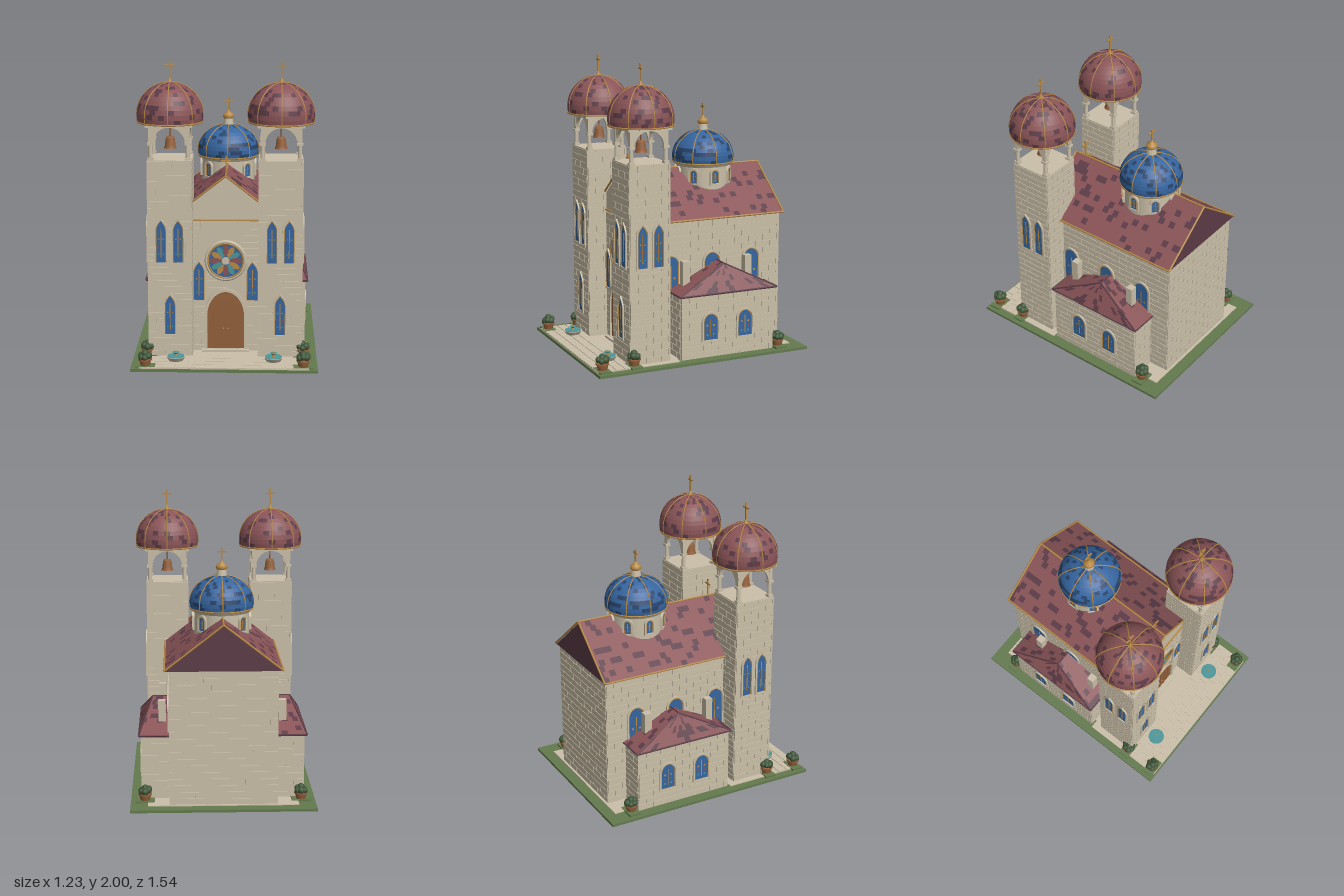
import * as THREE from 'three';
import { mergeGeometries } from 'three/addons/utils/BufferGeometryUtils.js';

const mat = (name, color) => {
  const m = new THREE.MeshStandardMaterial({ color });
  m.name = name;
  return m;
};
const V = (x, y, z) => new THREE.Vector3(x, y, z);

export function createModel() {
  const stone = mat('stone', 0xcabfa8), red = mat('redTile', 0x8a5457), plum = mat('darkTile', 0x5c3c48);
  const gold = mat('gold', 0xb98a45), blue = mat('blue', 0x35659f), navy = mat('navyTile', 0x27436b);
  const wood = mat('wood', 0x94613c), grass = mat('grass', 0x637a4e), leaf = mat('foliage', 0x40573a), teal = mat('teal', 0x4b979b);
  const model = new THREE.Group();
  model.name = 'church';
  let seed = 7;
  const rnd = () => (seed = (seed * 16807) % 2147483647) / 2147483647;

  const add = (parent, name, geo, m, x = 0, y = 0, z = 0) => {
    const mesh = new THREE.Mesh(geo, m);
    mesh.name = name;
    mesh.position.set(x, y, z);
    parent.add(mesh);
    return mesh;
  };
  const group = (parent, name, x = 0, y = 0, z = 0, ry = 0) => {
    const g = new THREE.Group();
    g.name = name;
    g.position.set(x, y, z);
    g.rotation.y = ry;
    parent.add(g);
    return g;
  };
  const box = (p, name, m, x0, x1, y0, y1, z0, z1) =>
    add(p, name, new THREE.BoxGeometry(x1 - x0, y1 - y0, z1 - z0), m, (x0 + x1) / 2, (y0 + y1) / 2, (z0 + z1) / 2);
  const cyl = (p, name, m, rt, rb, h, x, y, z, n = 16) =>
    add(p, name, new THREE.CylinderGeometry(rt, rb, h, n), m, x, y + h / 2, z);
  const bar = (p, name, m, a, b, r = 0.005) => {
    const mesh = add(p, name, new THREE.CylinderGeometry(r, r, a.distanceTo(b), 6), m);
    mesh.position.copy(a).lerp(b, 0.5);
    mesh.quaternion.setFromUnitVectors(V(0, 1, 0), b.clone().sub(a).normalize());
  };

  // Slightly raised blocks in running bond, in the xy plane facing +z
  const bricks = (p, name, w, h, L = 0.11, H = 0.045) => {
    const parts = [], rows = Math.round(h / H), rh = h / rows, gap = 0.004;
    for (let j = 0; j < rows; j++)
      for (let x = -w / 2 - (j % 2 ? L / 2 : 0); x < w / 2 - 0.01; x += L) {
        const a = Math.max(x, -w / 2), b = Math.min(x + L, w / 2);
        if (b - a > 0.012)
          parts.push(new THREE.BoxGeometry(b - a - gap, rh - gap, 0.004).translate((a + b) / 2, (j + 0.5) * rh, 0.002));
      }
    return add(p, name, mergeGeometries(parts), stone);
  };

  // Surface of staggered tiles, each randomly one of two colours
  const tiles = (p, name, f, cols, rows, mats, chance, wrap) => {
    const pos = [[], []];
    const at = (k, j) => f(wrap ? k / (2 * cols) : THREE.MathUtils.clamp(k / (2 * cols), 0, 1), j / rows);
    for (let j = 0; j < rows; j++)
      for (let i = wrap || j % 2 === 0 ? 0 : -1; i < cols; i++) {
        const out = pos[rnd() < chance ? 1 : 0];
        for (let h = 0; h < 2; h++) {
          const k = 2 * i + (j % 2) + h;
          const a = at(k, j), b = at(k + 1, j), c = at(k + 1, j + 1), d = at(k, j + 1);
          for (const q of [a, b, c, a, c, d]) out.push(q.x, q.y, q.z);
        }
      }
    const geo = new THREE.BufferGeometry();
    geo.setAttribute('position', new THREE.Float32BufferAttribute(pos[0].concat(pos[1]), 3));
    geo.addGroup(0, pos[0].length / 3, 0);
    geo.addGroup(pos[0].length / 3, pos[1].length / 3, 1);
    geo.computeVertexNormals();
    add(p, name, geo, mats);
  };
  // Roof slope from lower edge a-b to upper edge d-c, mirrored for s = -1
  const slope = (p, name, s, corners, cols, rows) => {
    let [a, b, c, d] = corners.map((q) => V(q.x * s, q.y, q.z));
    if (s < 0) [a, b, c, d] = [b, a, d, c];
    tiles(p, name, (u, v) => a.clone().lerp(b, u).lerp(d.clone().lerp(c, u), v), cols, rows, [red, plum], 0.2);
  };

  const cross = (p, x, y, z, h) => {
    const g = group(p, 'cross', x, y, z);
    box(g, 'crossPost', gold, -0.005, 0.005, 0, h, -0.004, 0.004);
    box(g, 'crossArm', gold, -0.032, 0.032, h * 0.68, h * 0.68 + 0.01, -0.004, 0.004);
  };

  const dome = (p, R, base, top, mats, chance) => {
    const g = group(p, 'dome', 0, base, 0), H = (top - base) / 1.2;
    const pt = (u, v) => {
      const t = -0.2 + v * (Math.PI / 2 + 0.2), r = R * Math.cos(t), a = u * Math.PI * 2;
      return V(r * Math.sin(a), H * (Math.sin(t) + 0.2), r * Math.cos(a));
    };
    tiles(g, 'domeTiles', pt, 32, 12, mats, chance, true);
    cyl(g, 'domeSoffit', stone, R * 0.97, R * 0.97, 0.006, 0, -0.004, 0, 40);
    add(g, 'domeRim', new THREE.TorusGeometry(R * 0.98, 0.006, 6, 40).rotateX(Math.PI / 2), gold);
    for (let i = 0; i < 8; i++) {
      const pts = [0, 0.2, 0.4, 0.6, 0.8, 1].map((v) => pt(i / 8, v));
      add(g, 'domeRib', new THREE.TubeGeometry(new THREE.CatmullRomCurve3(pts), 14, 0.0045, 5), gold);
    }
  };

  // Arched outline with its foot at y = 0
  const arch = (C, w, h, rise, round) => {
    const s = new C(), x = w / 2, t = h - rise, k = round ? 0.55 : 0.2, e = round ? h : h - rise * 0.2;
    s.moveTo(-x, 0).lineTo(x, 0).lineTo(x, t);
    s.bezierCurveTo(x, t + rise * 0.55, x * k, e, 0, h);
    s.bezierCurveTo(-x * k, e, -x, t + rise * 0.55, -x, t);
    s.lineTo(-x, 0);
    return s;
  };
  const frame = (p, name, m, w, h, rise, round, t, depth) => {
    const s = arch(THREE.Shape, w + 2 * t, h + 2 * t, rise + t, round);
    const hole = arch(THREE.Path, w, h, rise, round);
    hole.curves.forEach((c) => ['v0', 'v1', 'v2', 'v3'].forEach((k) => c[k] && !c[k].moved && (c[k] = Object.assign(c[k].clone(), { moved: true }), c[k].y += t)));
    add(p, name, new THREE.ExtrudeGeometry(s, { depth, bevelEnabled: false, curveSegments: 10 }), m, 0, -t, 0).geometry;
    p.children.pop();
    s.holes.push(hole);
    add(p, name, new THREE.ExtrudeGeometry(s, { depth, bevelEnabled: false, curveSegments: 10 }), m, 0, -t, 0);
  };
  const archWindow = (p, x, y, z, w, h, round, ry = 0) => {
    const g = group(p, 'archedWindow', x, y, z, ry), rise = w * (round ? 0.6 : 1.1);
    frame(g, 'windowSurround', stone, w + 0.008, h + 0.004, rise, round, 0.012, 0.014);
    frame(g, 'windowTrim', gold, w - 0.002, h - 0.002, rise, round, 0.004, 0.011);
    add(g, 'windowGlass', new THREE.ShapeGeometry(arch(THREE.Shape, w, h, rise, round), 10), blue, 0, 0, 0.006);
    box(g, 'windowMullion', gold, -0.003, 0.003, h * 0.12, h * 0.8, 0.006, 0.009);
    [teal, red, gold].forEach((m, i) => [-1, 1].forEach((s) =>
      add(g, 'glassRoundel', new THREE.CircleGeometry(w * 0.08, 8), m, s * w * 0.24, h * (0.2 + i * 0.18), 0.008)));
  };

  // Ground and paving
  box(model, 'lawn', grass, -0.615, 0.615, 0, 0.018, -0.775, 0.77);
  box(model, 'backPaving', stone, -0.5, 0.5, 0.018, 0.024, -0.7, 0.2);
  box(model, 'frontPaving', stone, -0.56, 0.56, 0.018, 0.024, 0.17, 0.76);
  const paving = group(model, 'pavingSlabs', 0, 0.024, 0.76);
  bricks(paving, 'slabs', 1.12, 0.25, 0.08, 0.06).rotation.x = -Math.PI / 2;

  // Nave
  const nave = group(model, 'nave');
  box(nave, 'naveWalls', stone, -0.355, 0.355, 0.018, 0.94, -0.68, 0.375);
  const wall = (p, x, z, ry, w, h) => bricks(group(p, 'stonework', x, 0.02, z, ry), 'wallBlocks', w, h);
  wall(nave, 0, 0.375, 0, 0.44, 0.9);
  wall(nave, 0, -0.68, Math.PI, 0.71, 0.91);
  const tri = new THREE.Shape([new THREE.Vector2(-0.375, 0.93), new THREE.Vector2(0.375, 0.93), new THREE.Vector2(0, 1.225)]);
  add(nave, 'roofCore', new THREE.ExtrudeGeometry(tri, { depth: 1.06, bevelEnabled: false }), plum, 0, 0, -0.697);
  add(nave, 'frontGable', new THREE.ExtrudeGeometry(tri, { depth: 0.012, bevelEnabled: false }), stone, 0, 0, 0.364);
  box(nave, 'gableCornice', gold, -0.22, 0.22, 0.93, 0.938, 0.37, 0.388);
  for (let i = -8; i <= 8; i++) box(nave, 'dentil', stone, i * 0.025 - 0.006, i * 0.025 + 0.006, 0.914, 0.93, 0.37, 0.385);
  const ridge = [V(0, 1.235, 0.385), V(0, 1.235, -0.7)];
  bar(nave, 'ridgeTrim', gold, ...ridge, 0.007);
  cross(nave, 0, 1.235, 0.3, 0.12);
  for (const s of [1, -1]) {
    const ef = V(0.385, 0.935, 0.385), eb = V(0.385, 0.935, -0.7);
    slope(nave, 'naveRoof', s, [ef, eb, ridge[1], ridge[0]], 26, 11);
    for (const q of [ef, eb]) q.x *= s;
    bar(nave, 'eaveTrim', gold, ef, eb, 0.007);
    bar(nave, 'frontRake', gold, ef, ridge[0], 0.007);
    bar(nave, 'backRake', gold, eb, ridge[1], 0.007);
    wall(nave, s * 0.355, -0.23, s * Math.PI / 2, 0.9, 0.9);
    for (const z of [0.15, -0.16, -0.46]) archWindow(nave, s * 0.355, 0.35, z, 0.11, 0.345, true, s * Math.PI / 2);
    archWindow(nave, s * 0.18, 0.38, 0.375, 0.07, 0.265, false);
  }

  // Rose window
  const rose = group(model, 'roseWindow', 0, 0.655, 0.375);
  add(rose, 'roseSurround', new THREE.TorusGeometry(0.13, 0.012, 8, 40), stone, 0, 0, 0.004);
  add(rose, 'roseRing', new THREE.TorusGeometry(0.118, 0.006, 8, 40), gold, 0, 0, 0.012);
  add(rose, 'roseGlass', new THREE.CircleGeometry(0.12, 40), blue, 0, 0, 0.008);
  for (let i = 0; i < 12; i++) {
    const petal = new THREE.CircleGeometry(0.02, 12).scale(1, 2, 1).translate(0, 0.068, 0);
    add(rose, 'rosePetal', petal, [red, teal, gold][i % 3], 0, 0, 0.01).rotation.z = (i * Math.PI) / 6;
  }
  add(rose, 'roseCentre', new THREE.CircleGeometry(0.027, 16), stone, 0, 0, 0.012);

  // Entrance door
  const door = group(model, 'door', 0, 0.04, 0.375);
  frame(door, 'doorSurround', stone, 0.25, 0.4, 0.17, true, 0.02, 0.02);
  add(door, 'doorLeaves', new THREE.ShapeGeometry(arch(THREE.Shape, 0.25, 0.4, 0.17, true), 12), wood, 0, 0, 0.007);
  for (const x of [-0.083, -0.042, 0, 0.042, 0.083]) box(door, 'doorBatten', wood, x - 0.002, x + 0.002, 0, 0.34 - Math.abs(x) * 0.3, 0.006, 0.011);
  for (const s of [-1, 1]) add(door, 'doorKnob', new THREE.SphereGeometry(0.006, 8, 6), gold, s * 0.015, 0.14, 0.012);
  box(model, 'doorStep', stone, -0.16, 0.16, 0.018, 0.038, 0.37, 0.42);

  // Bell towers
  for (const s of [1, -1]) {
    const t = group(model, 'bellTower', s * 0.367, 0, 0.367), h = 0.144;
    box(t, 'towerShaft', stone, -h, h, 0.018, 1.36, -h, h);
    for (let i = 0; i < 4; i++) {
      const a = (i * Math.PI) / 2;
      wall(t, Math.sin(a) * h, Math.cos(a) * h, a, 2 * h, 1.335);
      // Belfry arch and corner column
      const b = group(t, 'belfrySide', 0, 1.36, 0, a);
      const panel = new THREE.Shape();
      panel.moveTo(-0.135, 0.225).lineTo(-0.135, 0.11).lineTo(-0.105, 0.11);
      panel.absarc(0, 0.11, 0.105, Math.PI, 0, true);
      panel.lineTo(0.135, 0.11).lineTo(0.135, 0.225);
      add(b, 'belfryArch', new THREE.ExtrudeGeometry(panel, { depth: 0.022, bevelEnabled: false, curveSegments: 16 }), stone, 0, 0, 0.112);
      cyl(b, 'belfryColumn', stone, 0.013, 0.015, 0.11, 0.122, 0, 0.122, 10);
      box(b, 'columnBase', stone, 0.103, 0.141, 0, 0.016, 0.103, 0.141);
      box(b, 'columnCapital', stone, 0.102, 0.142, 0.1, 0.116, 0.102, 0.142);
    }
    box(t, 'belfryCornice', stone, -0.155, 0.155, 1.578, 1.598, -0.155, 0.155);
    const bell = [[0.001, 0.08], [0.025, 0.078], [0.031, 0.06], [0.035, 0.02], [0.043, 0]].map((q) => new THREE.Vector2(...q)).reverse();
    const bellMesh = add(t, 'bell', new THREE.LatheGeometry(bell, 20), wood, 0, 1.42, 0);
    cyl(bellMesh, 'bellMouth', wood, 0.04, 0.04, 0.004, 0, 0.002, 0);
    cyl(t, 'bellRod', wood, 0.005, 0.005, 0.09, 0, 1.495, 0, 6);
    dome(t, 0.22, 1.6, 1.86, [red, plum], 0.22);
    cyl(t, 'domeFinial', gold, 0.004, 0.018, 0.035, 0, 1.855, 0, 10);
    cross(t, 0, 1.88, 0, 0.12);
    archWindow(t, 0, 0.18, h, 0.065, 0.27, false);
    for (const o of [-0.057, 0.057]) {
      archWindow(t, o, 0.675, h, 0.062, 0.285, false);
      archWindow(t, s * h, 0.675, o, 0.062, 0.285, false, (s * Math.PI) / 2);
    }
  }

  // Central dome on its drum
  const c = group(model, 'centralDome', 0, 0, -0.265);
  cyl(c, 'drum', stone, 0.185, 0.185, 0.27, 0, 0.99, 0, 40);
  cyl(c, 'drumCornice', stone, 0.205, 0.19, 0.025, 0, 1.245, 0, 40);
  for (let i = 0; i < 8; i++) {
    const a = (i * Math.PI) / 4;
    archWindow(c, Math.sin(a) * 0.184, 1.135, Math.cos(a) * 0.184, 0.045, 0.09, true, a);
  }
  dome(c, 0.215, 1.27, 1.49, [blue, navy], 0.25);
  cyl(c, 'lanternBase', stone, 0.03, 0.036, 0.045, 0, 1.485, 0);
  const onion = [[0.028, 0], [0.04, 0.014], [0.034, 0.033], [0.012, 0.048], [0.001, 0.07]].map((q) => new THREE.Vector2(...q));
  add(c, 'lanternOnion', new THREE.LatheGeometry(onion, 20), gold, 0, 1.525, 0);
  cross(c, 0, 1.58, 0, 0.09);

  // Side chapels
  for (const s of [1, -1]) {
    const g = group(model, 'sideChapel');
    const span = (a, b) => (s > 0 ? [a, b] : [-b, -a]);
    box(g, 'chapelWalls', stone, ...span(0.3, 0.54), 0.018, 0.455, -0.54, 0.155);
    wall(g, s * 0.54, -0.1925, (s * Math.PI) / 2, 0.695, 0.43);
    wall(g, s * 0.45, 0.155, 0, 0.18, 0.43);
    wall(g, s * 0.45, -0.54, Math.PI, 0.18, 0.43);
    box(g, 'chapelSoffit', plum, ...span(0.35, 0.557), 0.45, 0.459, -0.557, 0.167);
    const A = V(0.56, 0.46, 0.17), B = V(0.56, 0.46, -0.56), R = V(0.47, 0.64, -0.195);
    const Ri = V(0.35, 0.64, -0.195), Af = V(0.35, 0.46, 0.17), Ab = V(0.35, 0.46, -0.56);
    slope(g, 'chapelHip', s, [A, B, R, R], 16, 5);
    slope(g, 'chapelRoof', s, [Af, A, R, Ri], 5, 9);
    slope(g, 'chapelRoof', s, [B, Ab, Ri, R], 5, 9);
    for (const q of [A, B, R, Ri, Af, Ab]) q.x *= s;
    for (const [a, b] of [[A, B], [A, R], [B, R], [R, Ri], [Af, A], [Ab, B]]) bar(g, 'chapelRoofTrim', plum, a, b, 0.005);
    for (const z of [-0.06, -0.32]) archWindow(g, s * 0.54, 0.14, z, 0.1, 0.18, true, (s * Math.PI) / 2);
    for (const z of [0.065, -0.405]) box(g, 'chapelPier', stone, ...span(0.38, 0.43), 0.45, 0.665, z - 0.025, z + 0.025);

    // Fountain
    const f = group(model, 'fountain', s * 0.325, 0.024, 0.6);
    cyl(f, 'basin', stone, 0.065, 0.045, 0.03, 0, 0, 0, 24);
    cyl(f, 'water', teal, 0.057, 0.057, 0.004, 0, 0.029, 0, 24);
    cyl(f, 'spout', gold, 0.006, 0.012, 0.035, 0, 0.03, 0, 10);
    cyl(f, 'upperBowl', teal, 0.024, 0.01, 0.01, 0, 0.048, 0, 12);

    // Potted shrubs
    for (const z of [0.715, 0.49, -0.59]) {
      const p = group(model, 'planter', s * 0.52, 0.018, z);
      box(p, 'planterLawn', grass, -0.065, 0.065, 0, 0.012, -0.04, 0.04);
      cyl(p, 'pot', wood, 0.042, 0.03, 0.05, 0, 0.005, 0, 12);
      cyl(p, 'potRim', wood, 0.045, 0.045, 0.01, 0, 0.047, 0, 12);
      for (let i = 0; i < 7; i++) {
        const a = (i * Math.PI) / 3, r = i < 6 ? 0.026 : 0;
        add(p, 'foliage', new THREE.IcosahedronGeometry(0.021 + rnd() * 0.005, 1), leaf, r * Math.sin(a), i < 6 ? 0.068 + rnd() * 0.016 : 0.092, r * Math.cos(a));
      }
    }
  }
  return model;
}
